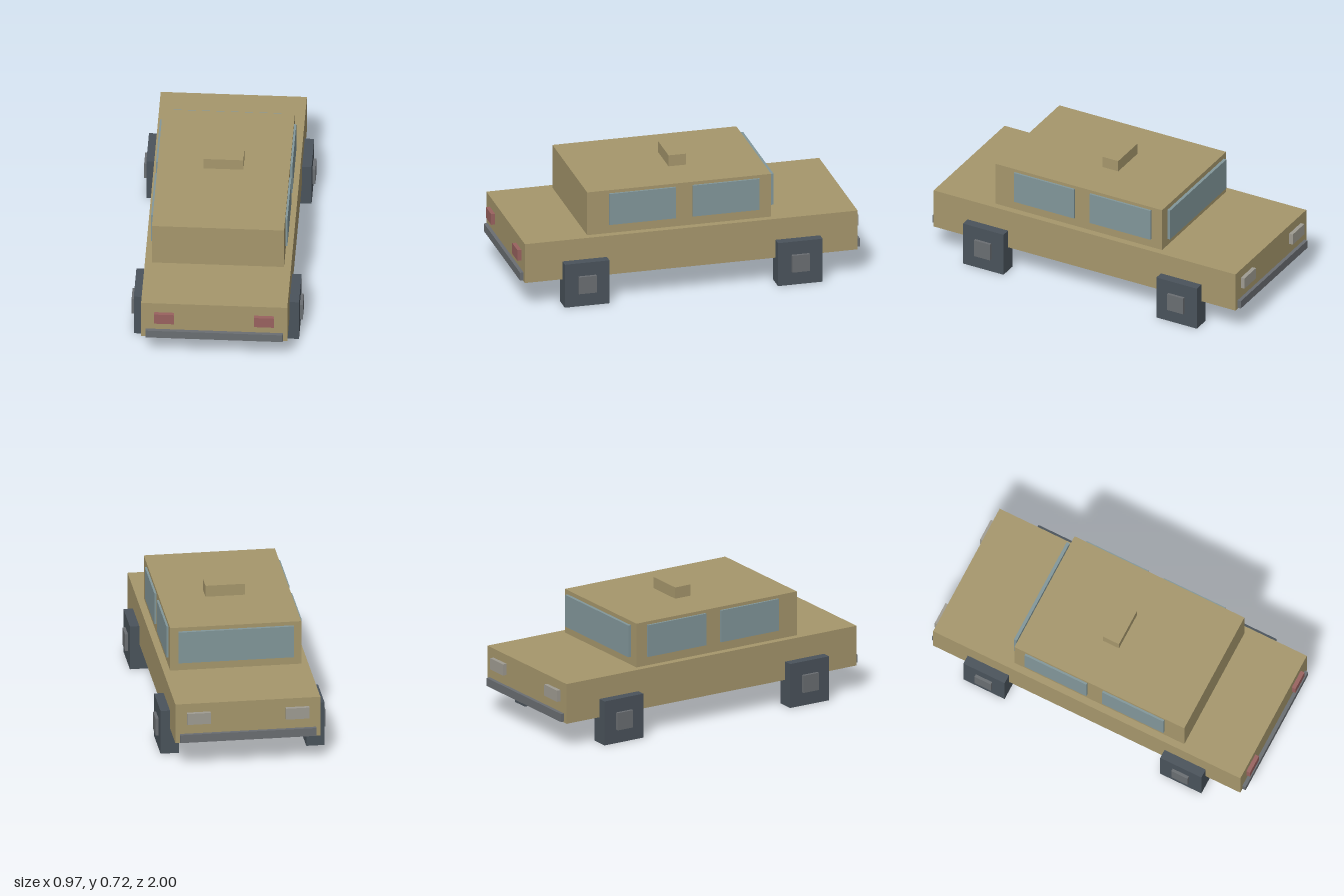
import * as THREE from 'three';

const paint = (color) => new THREE.MeshStandardMaterial({ color });

export function createModel() {
  const car = new THREE.Group();
  car.name = 'car';
  const tan = paint(0xa6976c), glass = paint(0x82979a), rubber = paint(0x4a535b);
  const metal = paint(0x6a6e72), red = paint(0x99625f), lamp = paint(0x9f9c92);

  // Box given by its lower and upper corner on each axis
  const box = (name, material, [x0, x1], [y0, y1], [z0, z1]) => {
    const mesh = new THREE.Mesh(new THREE.BoxGeometry(x1 - x0, y1 - y0, z1 - z0), material);
    mesh.position.set((x0 + x1) / 2, (y0 + y1) / 2, (z0 + z1) / 2);
    mesh.name = name;
    car.add(mesh);
  };
  // Range mirrored when s is -1
  const side = (s, a, b) => (s > 0 ? [a, b] : [-b, -a]);

  // Body, cabin and roof sign
  box('body', tan, [-0.415, 0.415], [0.153, 0.39], [-0.977, 0.977]);
  box('cabin', tan, [-0.375, 0.375], [0.39, 0.651], [-0.48, 0.6]);
  box('roofSign', tan, [-0.113, 0.113], [0.651, 0.718], [-0.051, 0.051]);

  // Windscreen, standing just clear of the cabin
  box('windscreen', glass, [-0.33, 0.33], [0.443, 0.632], [-0.507, -0.489]);

  // Bumpers
  for (const s of [1, -1]) {
    box(s > 0 ? 'tailBumper' : 'headBumper', metal, [-0.39, 0.39], [0.16, 0.208], side(s, 0.972, 0.998));
  }

  for (const s of [1, -1]) {
    const label = s > 0 ? 'left' : 'right';

    // Side windows
    box(`${label}WindowA`, glass, side(s, 0.37, 0.387), [0.443, 0.632], [0.083, 0.473]);
    box(`${label}WindowB`, glass, side(s, 0.37, 0.387), [0.443, 0.632], [-0.41, -0.017]);

    // Lights
    box(`${label}TailLight`, red, side(s, 0.227, 0.34), [0.262, 0.327], [0.972, 1]);
    box(`${label}Headlight`, lamp, side(s, 0.215, 0.35), [0.27, 0.337], [-1, -0.972]);

    // Square wheels with hubs
    for (const z of [0.626, -0.626]) {
      const end = z > 0 ? 'A' : 'B';
      box(`${label}Wheel${end}`, rubber, side(s, 0.365, 0.469), [0, 0.262], [z - 0.131, z + 0.131]);
      box(`${label}Hub${end}`, metal, side(s, 0.46, 0.486), [0.08, 0.183], [z - 0.052, z + 0.052]);
    }
  }
  return car;
}
